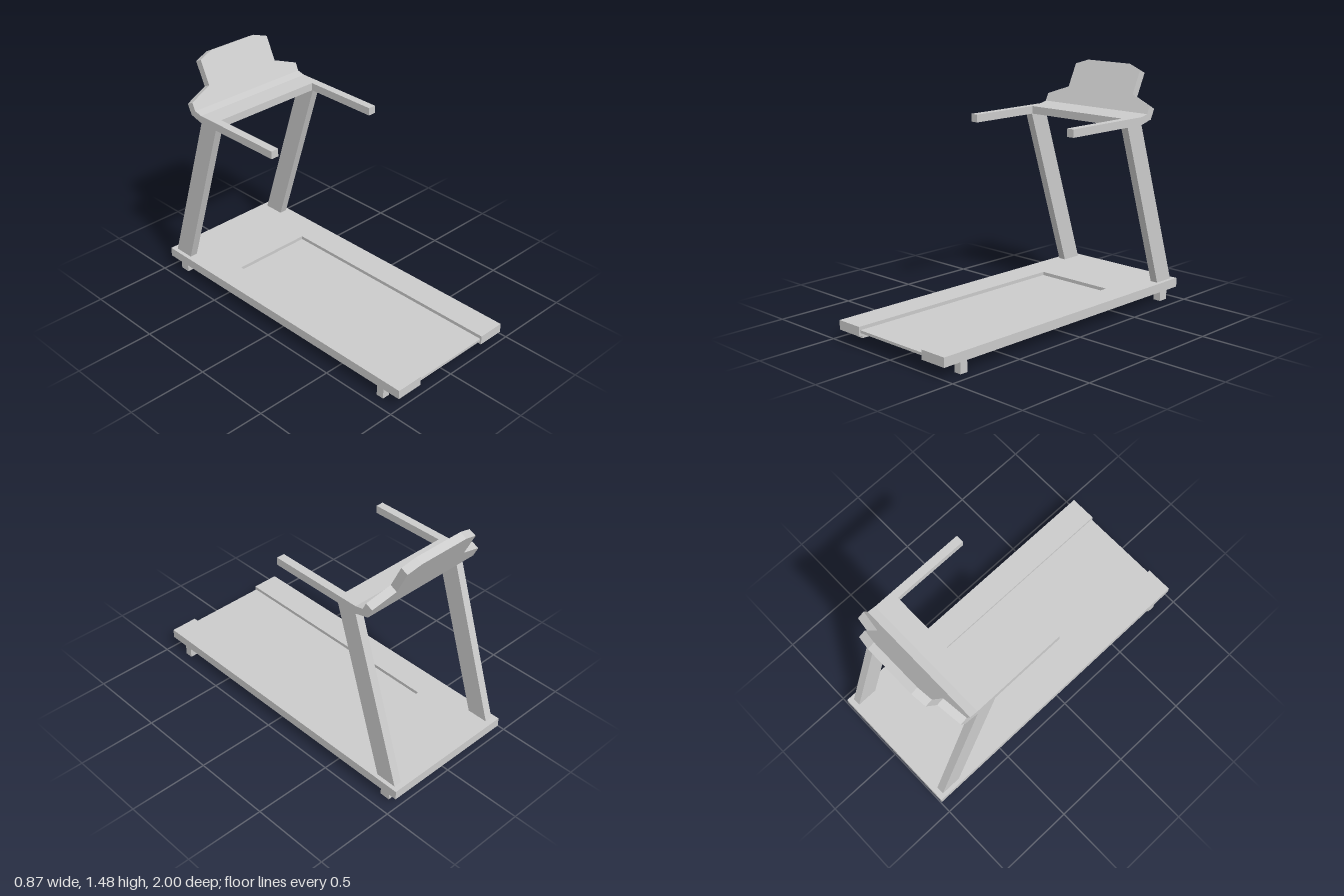
import * as THREE from 'three';

const material = new THREE.MeshStandardMaterial({ color: 0xcccccc, flatShading: true });

function add(group, name, geometry) {
  const mesh = new THREE.Mesh(geometry, material);
  mesh.name = name;
  group.add(mesh);
  return mesh;
}

function box(group, name, [x0, x1], [y0, y1], [z0, z1]) {
  const mesh = add(group, name, new THREE.BoxGeometry(x1 - x0, y1 - y0, z1 - z0));
  mesh.position.set((x0 + x1) / 2, (y0 + y1) / 2, (z0 + z1) / 2);
}

function extrude(points, depth) {
  const shape = new THREE.Shape(points.map(([a, b]) => new THREE.Vector2(a, b)));
  return new THREE.ExtrudeGeometry(shape, { depth, bevelEnabled: false });
}

// Plan outline in (x, z), raised between two heights
function slab(points, y0, y1) {
  return extrude(points.map(([x, z]) => [x, -z]), y1 - y0).rotateX(-Math.PI / 2).translate(0, y0, 0);
}

// Side profile in (z, y), spanning x0 to x1
function sideProfile(points, x0, x1) {
  return extrude(points.map(([z, y]) => [-z, y]), x1 - x0).rotateY(Math.PI / 2).translate(x0, 0, 0);
}

// U-shaped plan: two arms pointing forward, joined at the rear
function uPlan(outer, inner, rear, inside, tip) {
  return [[-outer, rear], [outer, rear], [outer, tip], [inner, tip],
    [inner, inside], [-inner, inside], [-inner, tip], [-outer, tip]];
}

export function createModel() {
  const model = new THREE.Group();
  model.name = 'treadmill';

  // Base frame, open at the front, with a sunken belt
  add(model, 'baseFrame', slab(uPlan(0.437, 0.262, -1, -0.513, 1), 0.07, 0.127));
  box(model, 'belt', [-0.262, 0.262], [0.09, 0.106], [-0.513, 0.992]);

  // Feet and leaning posts, mirrored left and right
  for (const [side, s] of [['left', 1], ['right', -1]]) {
    const span = (a, b) => (s > 0 ? [a, b] : [-b, -a]);
    box(model, side + 'FrontFoot', span(0.386, 0.433), [0, 0.07], [0.831, 0.88]);
    box(model, side + 'RearFoot', span(0.363, 0.414), [0, 0.07], [-0.928, -0.864]);
    const post = [[-0.832, 0.127], [-0.965, 0.127], [-0.637, 1.15], [-0.506, 1.15]];
    add(model, side + 'Post', sideProfile(post, ...span(0.362, 0.412)));
  }

  // Handrails joined by the console shelf
  add(model, 'handrails', slab(uPlan(0.412, 0.362, -0.638, -0.513, -0.025), 1.148, 1.196));

  // Shallow bend between shelf and panel
  const bend = [[-0.638, 1.148], [-0.638, 1.196], [-0.69, 1.208], [-0.724, 1.171]];
  add(model, 'consoleBend', sideProfile(bend, -0.412, 0.412));

  // Stepped console panel, tilted back, with a mitred lower edge
  const half = [[0.412, 0], [0.412, 0.052], [0.26, 0.112], [0.26, 0.269], [0.168, 0.302]];
  const outline = [...half, ...half.map(([x, y]) => [-x, y]).reverse()];
  const panel = extrude(outline, 0.049).translate(0, 0, -0.049);
  const p = panel.attributes.position;
  for (let i = 0; i < p.count; i++) {
    if (p.getY(i) < 0.001 && p.getZ(i) < -0.02) p.setY(i, -0.019);
  }
  panel.computeVertexNormals();
  const mesh = add(model, 'consolePanel', panel);
  mesh.position.set(0, 1.208, -0.69);
  mesh.rotation.x = -Math.atan2(0.13, 0.27);

  return model;
}
